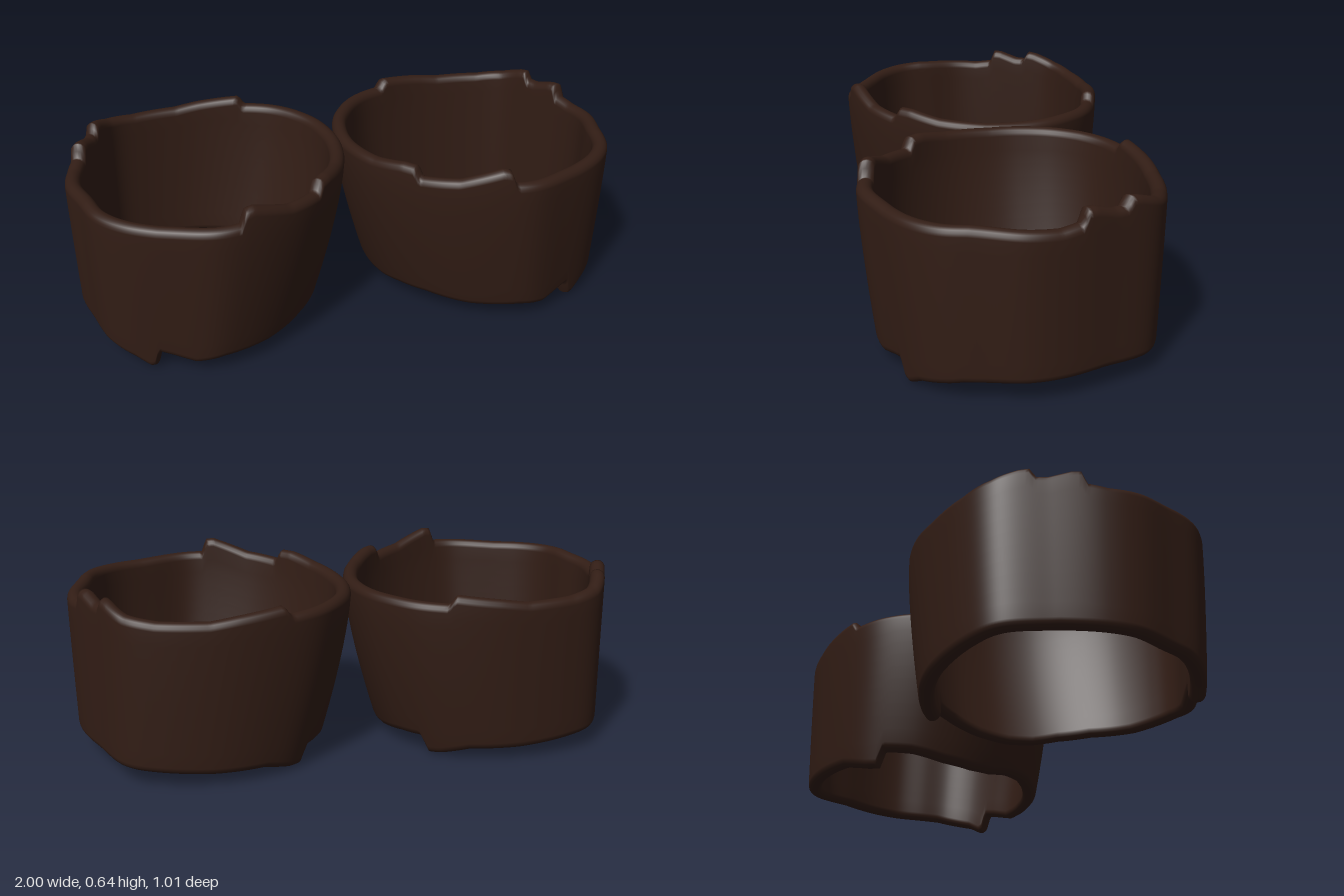
import * as THREE from 'three';

const SEGMENTS = 300;
const THICK = 0.055;

// Outline of the upper rim seen from above, as [x, z]
const OUTLINE = [
  [1.0, 0.02], [0.97, 0.15], [0.93, 0.28], [0.85, 0.37], [0.7, 0.45], [0.55, 0.5], [0.42, 0.48],
  [0.25, 0.4], [0.12, 0.28], [0.04, 0.15], [0.0, 0.0], [0.0, -0.12], [0.04, -0.26], [0.15, -0.4],
  [0.29, -0.47], [0.48, -0.505], [0.7, -0.48], [0.83, -0.42], [0.92, -0.26], [0.985, -0.1],
];

// Ragged edge heights as [degrees around the band, y]; sudden jumps are torn steps
const TOP_EDGE = [
  [-180, 0.59], [-140, 0.59], [-117, 0.585], [-114.5, 0.617], [-96, 0.6], [-85, 0.587], [-65, 0.59],
  [-53, 0.605], [-43, 0.635], [-39.5, 0.64], [-37.5, 0.61], [-33, 0.61], [-24, 0.633], [-20, 0.635],
  [-18.5, 0.59], [-10, 0.58], [23, 0.595], [60, 0.585], [92.5, 0.59], [94.5, 0.64], [98, 0.645],
  [116, 0.597], [134, 0.582], [136.5, 0.62], [143, 0.62], [158, 0.6], [180, 0.59],
];
const BOTTOM_EDGE = [
  [-180, 0.02], [-165, 0.03], [-150, 0.055], [-137, 0.065], [-134.5, 0.005], [-129, 0.01], [-115, 0.038],
  [-90, 0.045], [-60, 0.06], [-30, 0.075], [0, 0.075], [28, 0.068], [38, 0.05], [48, 0.03], [55, 0.002],
  [57.5, 0.005], [59.5, 0.07], [66, 0.06], [77, 0.038], [90, 0.052], [115, 0.045], [138, 0.055],
  [155, 0.045], [168, 0.025], [180, 0.02],
];

// Linear lookup in a list of [key, value]
function lookup(table, key) {
  for (let i = 1; i < table.length; i++) {
    const [k0, v0] = table[i - 1], [k1, v1] = table[i];
    if (key <= k1) return v0 + (v1 - v0) * (key - k0) / (k1 - k0);
  }
  return table[table.length - 1][1];
}

// Radius of the outline for each angle around its middle
function radiusTable() {
  const curve = new THREE.CatmullRomCurve3(
    OUTLINE.map(([x, z]) => new THREE.Vector3(x - 0.5, 0, z)), true);
  const table = curve.getPoints(400).slice(0, -1)
    .map(p => [Math.atan2(p.z, p.x) * 180 / Math.PI, Math.hypot(p.x, p.z)])
    .sort((a, b) => a[0] - b[0]);
  const first = table[0], last = table[table.length - 1];
  return [[last[0] - 360, last[1]], ...table, [first[0] + 360, first[1]]];
}

// Wall cross-section: [inward offset, height fraction, height offset], from outside bottom around to inside bottom
function wallSection() {
  const section = [], r = THICK / 2;
  for (let i = 0; i <= 10; i++) section.push([0, i / 10, r * (1 - i / 5)]);
  for (let i = 1; i < 8; i++) {
    const a = Math.PI * i / 8;
    section.push([r - r * Math.cos(a), 1, -r + r * Math.sin(a)]);
  }
  for (let i = 10; i >= 0; i--) section.push([THICK, i / 10, r * (1 - i / 5)]);
  for (let i = 1; i < 8; i++) {
    const a = Math.PI * i / 8;
    section.push([r + r * Math.cos(a), 0, r - r * Math.sin(a)]);
  }
  return section;
}

function bandGeometry(side) {
  const radii = radiusTable(), section = wallSection(), n = section.length;
  const positions = [], indices = [];
  for (let s = 0; s < SEGMENTS; s++) {
    const deg = -180 + 360 * s / SEGMENTS, a = deg * Math.PI / 180;
    const radius = lookup(radii, deg);
    const top = lookup(TOP_EDGE, deg), bottom = lookup(BOTTOM_EDGE, deg);
    section.forEach(([inset, f, dy], j) => {
      const y = bottom + (top - bottom) * f + dy;
      // The band narrows and shifts outwards towards its lower edge
      const u = THREE.MathUtils.clamp((y - 0.03) / 0.54, 0, 1);
      const taper = Math.pow(1 - u, 1.4);
      const c = Math.cos(a), d = Math.sin(a);
      const x = 0.5 + 0.055 * taper + c * (radius * (1 - 0.13 * taper) - inset);
      const z = -0.015 * taper + d * (radius * (1 - 0.07 * taper) - inset);
      positions.push(side * x, y, z);
      const s2 = (s + 1) % SEGMENTS, j2 = (j + 1) % n;
      const p = s * n + j, q = s2 * n + j, r = s2 * n + j2, t = s * n + j2;
      if (side > 0) indices.push(p, t, r, p, r, q);
      else indices.push(p, r, t, p, q, r);
    });
  }
  const geometry = new THREE.BufferGeometry();
  geometry.setAttribute('position', new THREE.Float32BufferAttribute(positions, 3));
  geometry.setIndex(indices);
  geometry.computeVertexNormals();
  return geometry;
}

export function createModel() {
  const group = new THREE.Group();
  group.name = 'pairOfCuffs';
  const leather = new THREE.MeshStandardMaterial({ color: 0x321d15 });
  // Mirrored pair of ragged cuffs
  for (const side of [1, -1]) {
    const cuff = new THREE.Mesh(bandGeometry(side), leather);
    cuff.name = side > 0 ? 'leftCuff' : 'rightCuff';
    group.add(cuff);
  }
  return group;
}
